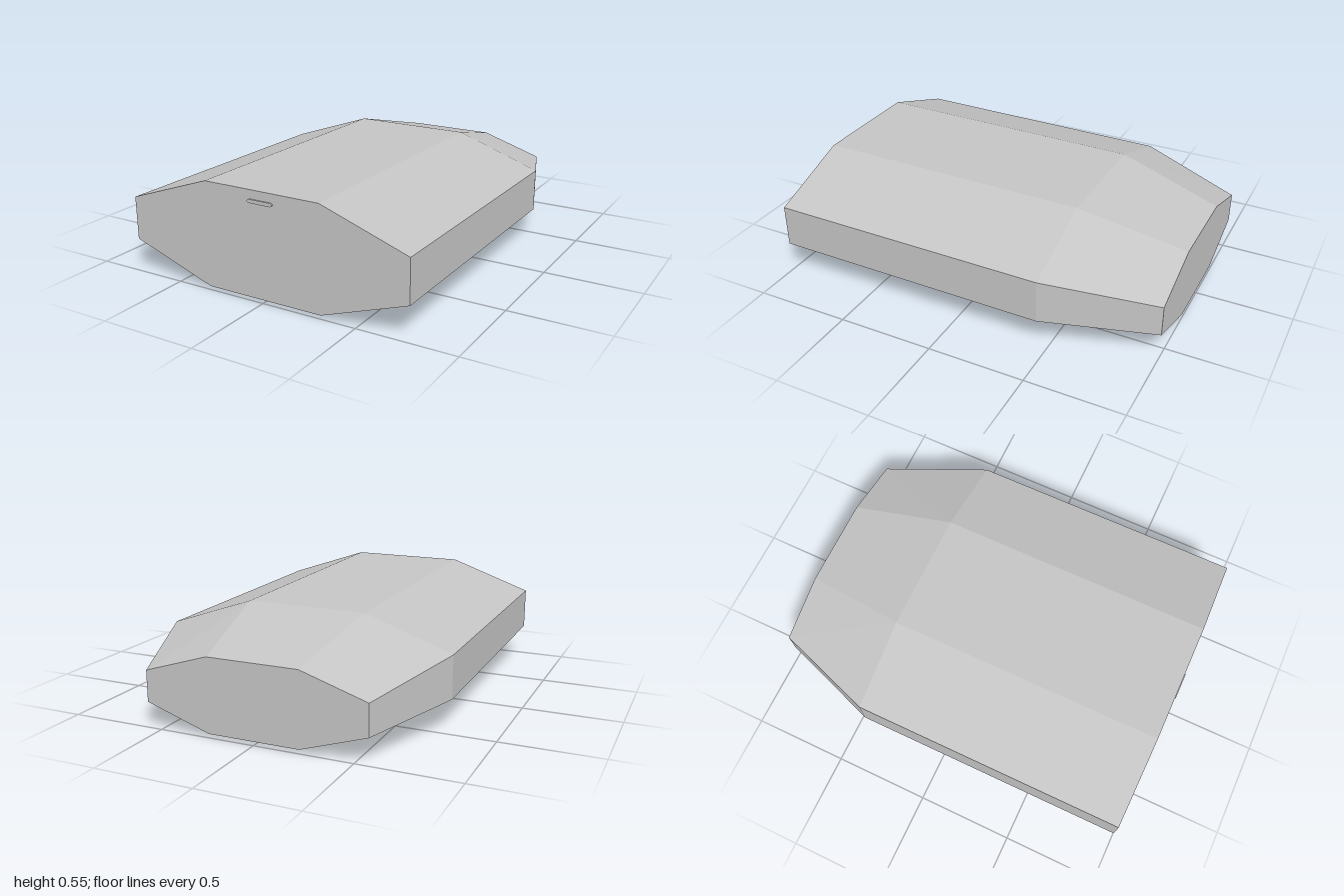
import * as THREE from 'three';

// Octagonal cross-section, counter-clockwise seen from the front
function ring({ z, wide, flat, top, shoulder, low, bottom }) {
  const right = [[flat, bottom], [wide, low], [wide, shoulder], [flat, top]];
  const left = right.map(([x, y]) => [-x, y]).reverse();
  return [...right, ...left].map(([x, y]) => new THREE.Vector3(x, y, z));
}

// Faceted shell lofted through the sections, front to back, with flat end caps
function loft(sections) {
  const rings = sections.map(ring);
  const points = [];
  const tri = (...corners) => corners.forEach((p) => points.push(p.x, p.y, p.z));
  const n = rings[0].length;
  for (let s = 0; s < rings.length - 1; s++) {
    const [front, back] = [rings[s], rings[s + 1]];
    for (let i = 0; i < n; i++) {
      const j = (i + 1) % n;
      // mirrored diagonals keep the twisted rear facets symmetrical
      if (i < 4) {
        tri(front[i], back[i], front[j]);
        tri(front[j], back[i], back[j]);
      } else {
        tri(front[i], back[i], back[j]);
        tri(front[i], back[j], front[j]);
      }
    }
  }
  const first = rings[0];
  const last = rings[rings.length - 1];
  for (let i = 1; i < n - 1; i++) {
    tri(first[0], first[i], first[i + 1]);
    tri(last[0], last[i + 1], last[i]);
  }
  const geometry = new THREE.BufferGeometry();
  geometry.setAttribute('position', new THREE.Float32BufferAttribute(points, 3));
  geometry.computeVertexNormals();
  return geometry;
}

export function createModel() {
  const model = new THREE.Group();
  model.name = 'facetedHull';
  const grey = new THREE.MeshStandardMaterial({ color: 0xc4c4c4, flatShading: true });
  grey.name = 'light grey';

  // Main body: almost constant section, then a tapered rear
  const body = new THREE.Mesh(loft([
    { z: 0.993, wide: 0.765, flat: 0.315, top: 0.548, shoulder: 0.392, low: 0.172, bottom: 0.016 },
    { z: -0.45, wide: 0.765, flat: 0.315, top: 0.534, shoulder: 0.378, low: 0.158, bottom: 0.002 },
    { z: -1, wide: 0.57, flat: 0.235, top: 0.396, shoulder: 0.29, low: 0.132, bottom: 0.022 },
  ]), grey);
  body.name = 'body';
  model.add(body);

  // Small raised bar with chamfered ends on the front face
  const outline = [[0.06, -0.009], [0.07, -0.003], [0.07, 0.003], [0.06, 0.009],
    [-0.06, 0.009], [-0.07, 0.003], [-0.07, -0.003], [-0.06, -0.009]];
  const shape = new THREE.Shape(outline.map(([x, y]) => new THREE.Vector2(x, y)));
  const bar = new THREE.Mesh(
    new THREE.ExtrudeGeometry(shape, { depth: 0.009, bevelEnabled: false }), grey);
  bar.position.set(0, 0.495, 0.991);
  bar.name = 'frontBar';
  model.add(bar);

  return model;
}
